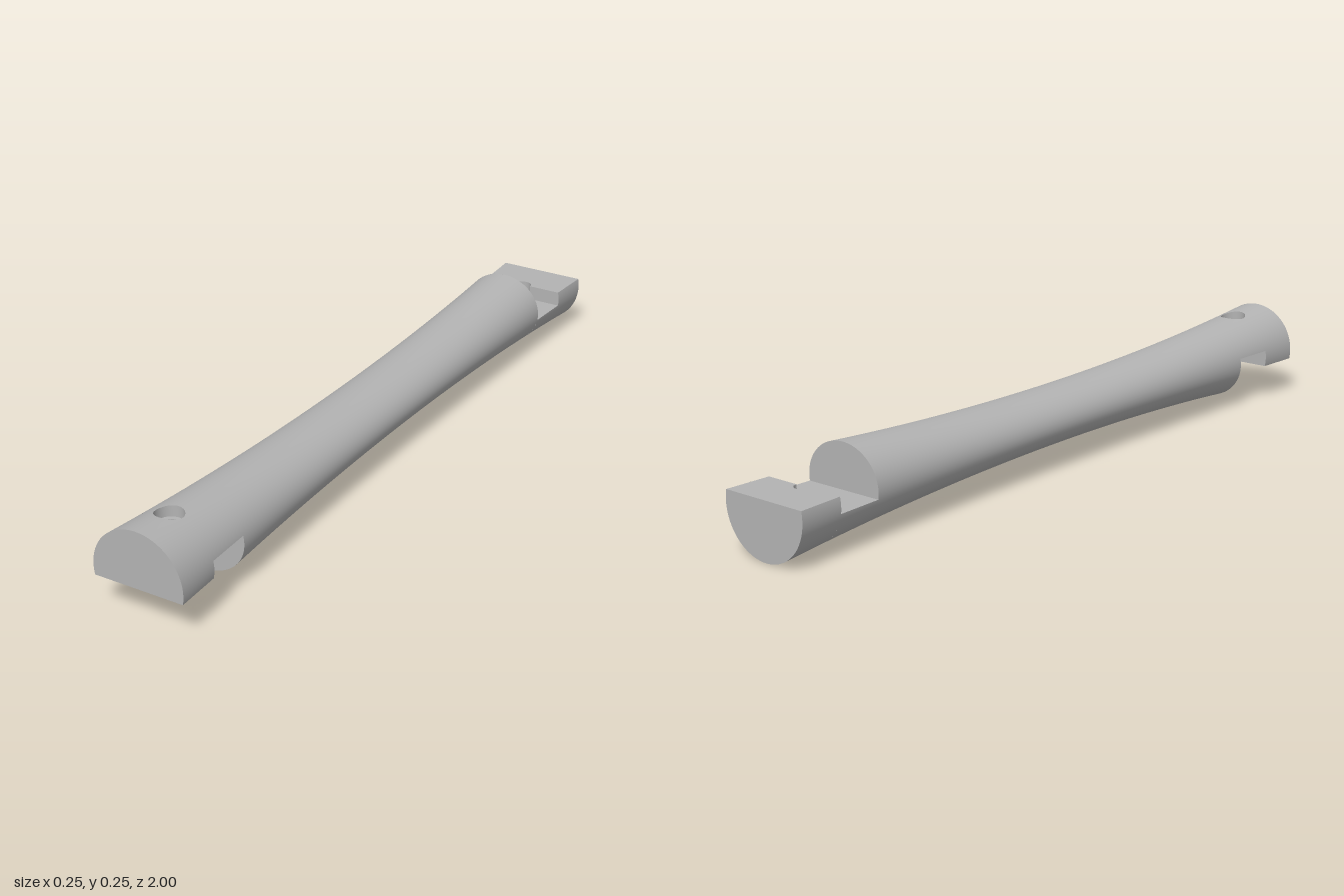
import * as THREE from 'three';
import { ParametricGeometry } from 'three/addons/geometries/ParametricGeometry.js';

const STEP = 0.875, SHOULDER = 0.75, END = 1;   // stations along the beam
const BORE = 0.024, SINK = 0.036, SINK_FLOOR = 0.08; // bolt hole sizes
const LIP = -0.025;                             // height of the lip's flat face
const PATCH = 0.55;                             // half angle of the pierced patch
const { lerp } = THREE.MathUtils;

// elliptical section, waisted at the middle
const rx = z => 0.1 + 0.025 * z * z;
const ry = z => 0.0735 + 0.0515 * z * z;
const halfWidth = (y, z) => rx(z) * Math.sqrt(1 - (y / ry(z)) ** 2);
const onSkin = (a, z, p) => p.set(rx(z) * Math.sin(a), ry(z) * Math.cos(a), z);

export function createModel() {
  const grey = new THREE.MeshStandardMaterial({ color: 0xb3b3b3, side: THREE.DoubleSide });
  grey.name = 'plain grey';

  function add(group, name, fn, nu, nv, flat = false) {
    const g = new ParametricGeometry(fn, nu, nv);
    if (flat) g.computeVertexNormals();
    const mesh = new THREE.Mesh(g, grey);
    mesh.name = name;
    group.add(mesh);
  }

  function makeJoint(name, notch) {
    const j = new THREE.Group();
    j.name = name;

    // curved skin beside the hole, down to the notch and lip edges
    for (const s of [-1, 1]) {
      for (const [z0, z1, cut] of [[SHOULDER, STEP, notch], [STEP, END, LIP]]) {
        add(j, 'jointSkin', (u, v, p) => {
          const z = lerp(z0, z1, v);
          onSkin(s * lerp(PATCH, Math.acos(cut / ry(z)), u), z, p);
        }, 20, 6);
      }
    }

    // skin patch blending from the round hole to a rectangle
    add(j, 'piercedSkin', (u, v, p) => {
      const f = u * Math.PI * 2, c = Math.cos(f), s = Math.sin(f);
      const m = Math.max(Math.abs(c), Math.abs(s));
      const zi = STEP + SINK * s, ai = Math.asin(SINK * c / rx(zi));
      onSkin(lerp(ai, PATCH * c / m, v), lerp(zi, STEP + 0.125 * s / m, v), p);
    }, 48, 6);

    // countersink wall and floor
    add(j, 'countersinkWall', (u, v, p) => {
      const f = u * Math.PI * 2, x = SINK * Math.cos(f), z = STEP + SINK * Math.sin(f);
      const top = ry(z) * Math.sqrt(1 - (x / rx(z)) ** 2);
      p.set(x, lerp(SINK_FLOOR, top, v), z);
    }, 48, 1);
    add(j, 'countersinkFloor', (u, v, p) => {
      const f = u * Math.PI * 2, r = lerp(BORE, SINK, v);
      p.set(r * Math.cos(f), SINK_FLOOR, STEP + r * Math.sin(f));
    }, 48, 1, true);

    // notch ceiling and lip underside, each with half of the bore and its wall
    for (const [label, y, dir] of [['notchFace', notch, -1], ['lipFace', LIP, 1]]) {
      add(j, label, (u, v, p) => {
        const f = u * Math.PI, c = Math.cos(f), s = Math.sin(f);
        const m = Math.max(Math.abs(c), s);
        const z = STEP + dir * 0.125 * s / m;
        p.set(lerp(BORE * c, halfWidth(y, z) * c / m, v), y,
          lerp(STEP + dir * BORE * s, z, v));
      }, 24, 1, true);
      add(j, 'boreWall', (u, v, p) => {
        const f = u * Math.PI;
        p.set(BORE * Math.cos(f), lerp(y, SINK_FLOOR, v), STEP + dir * BORE * Math.sin(f));
      }, 24, 1);
    }

    // step wall between notch and lip, interrupted by the bore
    for (const s of [-1, 1]) {
      add(j, 'stepWall', (u, v, p) => {
        const y = lerp(LIP, notch, v);
        p.set(s * lerp(BORE, halfWidth(y, STEP), u), y, STEP);
      }, 1, 6, true);
    }

    // flat faces across the beam: outer end and notch shoulder
    for (const [label, z, cut, up] of [['endFace', END, LIP, 1], ['shoulderFace', SHOULDER, notch, -1]]) {
      const limit = Math.acos(up * cut / ry(z));
      add(j, label, (u, v, p) => {
        const a = lerp(-limit, limit, u);
        p.set(v * rx(z) * Math.sin(a), lerp(cut, up * ry(z) * Math.cos(a), v), z);
      }, 48, 1, true);
    }
    return j;
  }

  const beam = new THREE.Group();
  beam.name = 'beam';
  beam.position.y = 0.125;

  // waisted shaft
  add(beam, 'shaft', (u, v, p) =>
    onSkin(u * Math.PI * 2, lerp(-SHOULDER, SHOULDER, v), p), 64, 40);

  // half-lap joints, the back one turned over
  const back = makeJoint('backJoint', 0.016);
  back.rotation.x = Math.PI;
  beam.add(makeJoint('frontJoint', 0.021), back);

  const model = new THREE.Group();
  model.name = 'lapJointedBeam';
  model.add(beam);
  return model;
}
